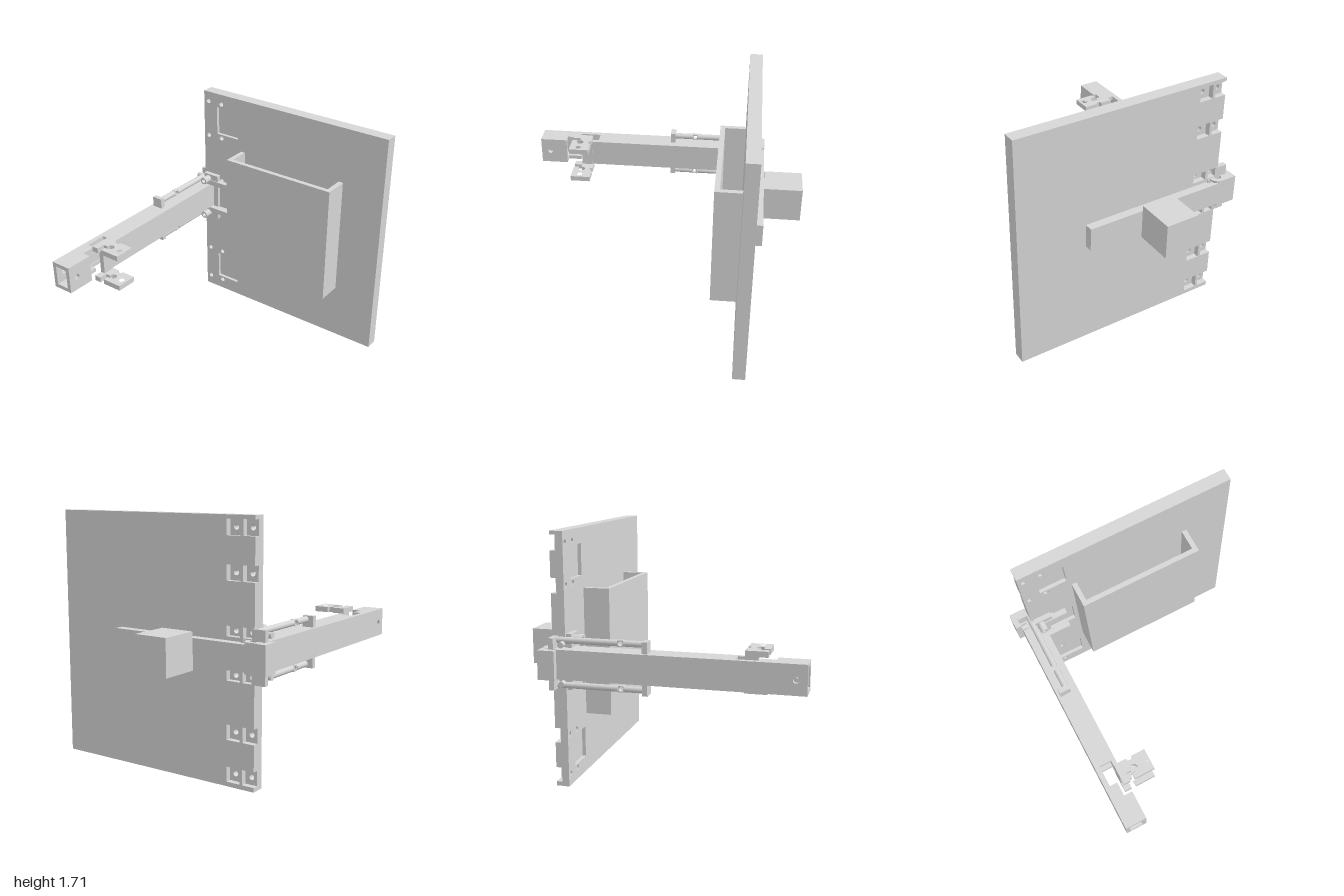
import * as THREE from 'three';

const steel = new THREE.MeshStandardMaterial({ color: 0xd6d6d6 });
steel.name = 'light steel grey';

export function createModel() {
  const root = new THREE.Group();
  root.name = 'doorFixture';

  const add = (name, geo, parent = root) => {
    const m = new THREE.Mesh(geo, steel);
    m.name = name;
    parent.add(m);
    return m;
  };
  const group = (name) => {
    const g = new THREE.Group();
    g.name = name;
    root.add(g);
    return g;
  };
  // box from its limits
  const box = (name, x0, x1, y0, y1, z0, z1, parent) => add(name,
    new THREE.BoxGeometry(x1 - x0, y1 - y0, z1 - z0)
      .translate((x0 + x1) / 2, (y0 + y1) / 2, (z0 + z1) / 2), parent);
  const poly = (pts) => pts.map(([a, b]) => new THREE.Vector2(a, b));
  const rect = (a0, a1, b0, b1) => [[a0, b0], [a1, b0], [a1, b1], [a0, b1]];
  const circle = (a, b, r) => Array.from({ length: 20 }, (_, i) => {
    const t = i * Math.PI / 10;
    return [a + r * Math.cos(t), b + r * Math.sin(t)];
  });
  const extrude = (pts, holes, depth) => {
    const s = new THREE.Shape(poly(pts));
    holes.forEach((h) => s.holes.push(new THREE.Path(poly(h))));
    return new THREE.ExtrudeGeometry(s, { depth, bevelEnabled: false });
  };
  // slabs drawn in (x,y), (x,z) and (z,y)
  const slabXY = (name, pts, holes, z0, z1, parent) =>
    add(name, extrude(pts, holes, z1 - z0).translate(0, 0, z0), parent);
  const flip = (pts) => pts.map(([x, z]) => [x, -z]);
  const slabXZ = (name, pts, holes, y0, y1, parent) =>
    add(name, extrude(flip(pts), holes.map(flip), y1 - y0)
      .rotateX(-Math.PI / 2).translate(0, y0, 0), parent);
  const slabZY = (name, pts, holes, x0, x1, parent) =>
    add(name, extrude(pts, holes, x1 - x0)
      .rotateY(-Math.PI / 2).translate(x1, 0, 0), parent);

  const mid = 0.857;

  // Door panel in three layers: front pockets, core, rear bolt pockets
  const panel = group('doorPanel');
  const outline = (notches) => {
    const pts = [[-0.72, 0], [0.83, 0], [0.83, 1.71], [-0.72, 1.71]];
    [...notches].sort((a, b) => b[0] - a[0]).forEach(([y0, y1, x]) =>
      pts.push([-0.72, y1], [x, y1], [x, y0], [-0.72, y0]));
    return pts;
  };
  const rows = [0.08, 0.355, 0.72, 1.0, 1.36, 1.635];
  const bolts = rows.flatMap((y) => [circle(-0.68, y, 0.018), circle(-0.56, y, 0.018)]);
  const armSlot = [0.755, 0.96, -0.64];
  const windows = [[0.11, 0.325], [0.75, 0.968], [1.39, 1.605]]
    .map(([y0, y1]) => rect(-0.6, -0.405, y0, y1));
  slabXY('panelFront', outline([armSlot]), [...bolts, ...windows], -0.605, -0.58, panel);
  slabXY('panelCore', outline([armSlot]), bolts, -0.63, -0.605, panel);
  const half = (y) => (Math.abs(y - mid) < 0.2 ? 0.033 : 0.05);
  slabXY('panelBack',
    outline([armSlot, ...rows.map((y) => [y - half(y), y + half(y), -0.635])]),
    rows.map((y) => rect(-0.615, -0.515, y - half(y), y + half(y))), -0.67, -0.63, panel);

  // U-shaped cover, open at top and bottom
  slabXZ('frontCover', [[-0.375, -0.58], [-0.34, -0.58], [-0.34, -0.432], [0.475, -0.432],
    [0.475, -0.58], [0.51, -0.58], [0.51, -0.397], [-0.375, -0.397]], [], 0.415, 1.3);

  // Rear handle bar with its end block, pivot recesses and weight
  const handle = group('rearHandle');
  slabXZ('handleBar', [[-0.688, -0.73], [0.337, -0.73], [0.337, -0.67], [-0.622, -0.67],
    [-0.627, -0.687], [-0.64, -0.692], [-0.653, -0.687], [-0.658, -0.67], [-0.688, -0.67]],
  [], 0.775, 0.942, handle);
  slabXZ('handleEnd', [[-0.835, -0.73], [-0.688, -0.73], [-0.688, -0.67], [-0.692, -0.67],
    [-0.695, -0.688], [-0.705, -0.698], [-0.72, -0.702], [-0.735, -0.698], [-0.744, -0.688],
    [-0.747, -0.67], [-0.795, -0.67], [-0.795, -0.615], [-0.835, -0.615]],
  [], 0.76, 0.955, handle);
  box('handleWeight', -0.3, -0.06, 0.733, 0.983, -1, -0.73, handle);

  // Hollow square arm with a cut-out near its free end
  const arm = group('arm');
  const x0 = -0.795, x1 = -0.645, w = 0.028, y0 = 0.76, y1 = 0.957;
  const skin = [[x0, -0.67], [x1, -0.67], [x1, 0.6], [-0.675, 0.6], [-0.675, 0.55],
    [-0.76, 0.55], [-0.76, 0.7], [-0.705, 0.7], [-0.705, 0.8], [x1, 0.8], [x1, 1], [x0, 1]];
  slabXZ('armTop', skin, [], y1 - w, y1, arm);
  slabXZ('armBottom', skin, [], y0, y0 + w, arm);
  const pinHole = circle(0.93, mid, 0.02);
  const [lo, hi] = [y0 + w, y1 - w];
  slabZY('armOuterWall', rect(-0.67, 1, lo, hi), [pinHole], x0, x0 + w, arm);
  slabZY('armInnerWallTip', rect(0.8, 1, lo, hi), [pinHole], x1 - w, x1, arm);
  box('armInnerWall', x1 - w, x1, lo, hi, -0.67, 0.6, arm);

  // Latch bracket: two drilled plates joined by a web
  const latch = group('latchBracket');
  const latchShape = [[-0.675, 0.593], [-0.585, 0.593], [-0.578, 0.612], [-0.552, 0.612],
    [-0.545, 0.593], [-0.445, 0.593], [-0.445, 0.74], [-0.592, 0.74], [-0.592, 0.702],
    [-0.565, 0.702], [-0.543, 0.69], [-0.538, 0.67], [-0.55, 0.652], [-0.57, 0.648],
    [-0.588, 0.66], [-0.592, 0.68], [-0.625, 0.68], [-0.625, 0.74], [-0.675, 0.74]];
  for (const y of [0.72, 0.957]) {
    slabXZ('latchPlate', latchShape, [circle(-0.483, 0.675, 0.02)], y, y + 0.038, latch);
  }
  box('latchWeb', -0.675, -0.64, 0.758, 0.957, 0.6, 0.68, latch);

  // Guide rods and hinge hardware, mirrored above and below the arm
  for (const s of [1, -1]) {
    const side = group(s > 0 ? 'upperHinge' : 'lowerHinge');
    const b = (name, xa, xb, d0, d1, za, zb) => {
      const ys = [mid + s * d0, mid + s * d1].sort((p, q) => p - q);
      return box(name, xa, xb, ys[0], ys[1], za, zb, side);
    };
    const rodY = mid + s * 0.15;
    // rod in two lengths either side of a drilled flat
    for (const [za, zb] of [[-0.65, -0.22], [-0.18, -0.02]]) {
      add('guideRod', new THREE.CylinderGeometry(0.021, 0.021, zb - za, 20)
        .rotateX(Math.PI / 2).translate(-0.72, rodY, (za + zb) / 2), side);
    }
    slabZY('rodFlat', rect(-0.22, -0.18, rodY - 0.021, rodY + 0.021),
      [circle(-0.2, rodY, 0.016)], -0.735, -0.705, side);
    b('rodStop', -0.775, -0.697, 0.1, 0.175, -0.045, -0.01);
    b('rodFlange', -0.795, -0.7, 0.1, 0.173, -0.67, -0.635);
    b('hingeStrap', -0.72, -0.465, 0.1, 0.14, -0.58, -0.538);
    b('hingeFoot', -0.705, -0.577, 0.1, 0.187, -0.58, -0.545);
    slabXY('hingeBoss', circle(-0.665, rodY, 0.027), [circle(-0.665, rodY, 0.016)],
      -0.545, -0.48, side);
    add('sideBolt', new THREE.CylinderGeometry(0.02, 0.02, 0.04, 16)
      .rotateZ(Math.PI / 2).translate(-0.775, mid + s * 0.13, -0.585), side);
    // rounded pivot ear behind the panel edge
    const earY = mid + s * 0.09;
    slabXZ('pivotEar', circle(-0.715, -0.675, 0.055), [circle(-0.72, -0.675, 0.027)],
      earY - 0.01, earY + 0.01, side);
  }
  return root;
}
